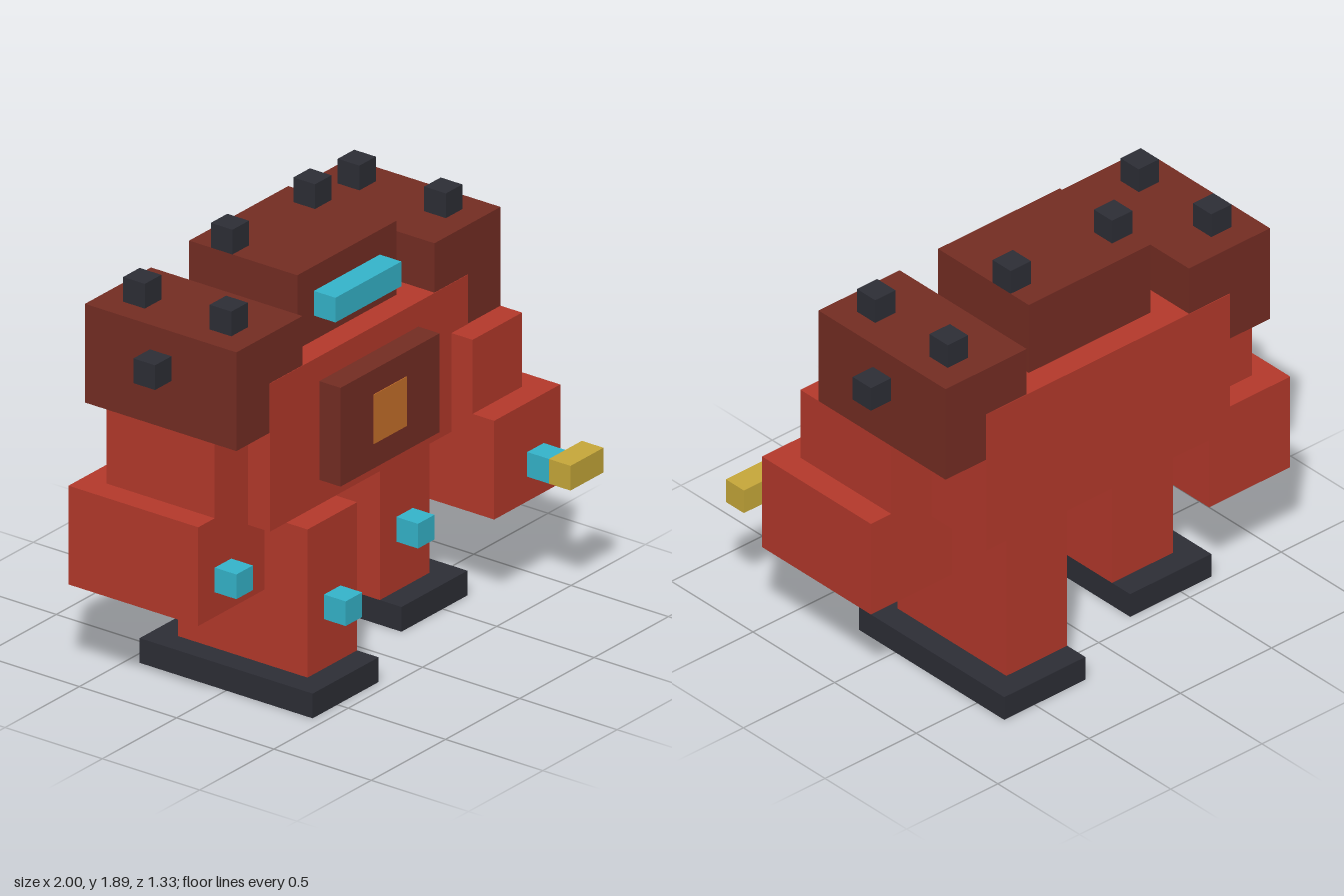
import * as THREE from 'three';

const U = 1 / 9; // one block

export function createModel() {
  const model = new THREE.Group();
  model.name = 'robot';

  const mat = (name, color) => {
    const m = new THREE.MeshStandardMaterial({ color });
    m.name = name;
    return m;
  };
  const red = mat('red armour', 0xb5392b);
  const maroon = mat('dark red armour', 0x752d23);
  const charcoal = mat('charcoal', 0x2d2e36);
  const cyan = mat('cyan light', 0x35b5cc);
  const gold = mat('gold', 0xc8a93a);
  const orange = mat('orange core', 0xc8702a);

  // Box from its limits, in blocks
  const box = (name, material, [x0, x1], [y0, y1], [z0, z1], parent = model) => {
    const geo = new THREE.BoxGeometry(Math.abs(x1 - x0) * U, (y1 - y0) * U, (z1 - z0) * U);
    const mesh = new THREE.Mesh(geo, material);
    mesh.position.set((x0 + x1) / 2 * U, (y0 + y1) / 2 * U, (z0 + z1) / 2 * U);
    mesh.name = name;
    parent.add(mesh);
    return mesh;
  };

  // Torso stands a hair proud of the shoulders it overlaps
  box('torso', red, [-6, 6], [7, 13], [-5.02, 2.02]);
  box('chestPlate', maroon, [-3, 3], [8, 12], [2, 3]);
  box('chestCore', orange, [-1, 1], [9, 11], [2.97, 3.03]);

  // Head
  box('head', maroon, [-3, 3], [13, 16], [-4, 1]);
  box('visor', cyan, [-2, 2], [14, 15], [1, 2]);

  for (const s of [1, -1]) {
    const side = new THREE.Group();
    side.name = s > 0 ? 'leftSide' : 'rightSide';
    model.add(side);
    const part = (name, material, [x0, x1], y, z) =>
      box(name, material, [s * x0, s * x1], y, z, side);

    part('horn', charcoal, [2, 3], [16, 17], [-3, -2]);

    // Shoulder with studs
    part('shoulder', maroon, [4, 8], [11, 15], [-5, 2]);
    for (const z of [-4, 0]) part('shoulderTopStud', charcoal, [6, 7], [15, 16], [z, z + 1]);
    part('shoulderSideStud', charcoal, [8, 9], [13, 14], [-2, -1]);

    // Arms swing opposite to the legs
    const a = s > 0 ? 3 : 0;
    part('upperArm', red, [5, 8], [8, 11], s > 0 ? [-2, 3] : [-4, 1]);
    part('forearm', red, [5, 9], [4, 8], [a - 5, a + 1]);
    part('handLight', cyan, [7, 8], [5, 6], [a + 1, a + 2]);
    if (s > 0) part('handTool', gold, [7, 9], [5, 6], [5, 6]);

    // Striding legs
    const l = s > 0 ? -2 : 0;
    part('leg', red, [2, 5], [1, 7], [l - 3, l + 3]);
    part('kneeLight', cyan, [3, 4], [3, 4], [l + 3, l + 4]);
    part('foot', charcoal, [2, 6], [0, 1], [l - 4, l + 4]);
  }

  return model;
}
